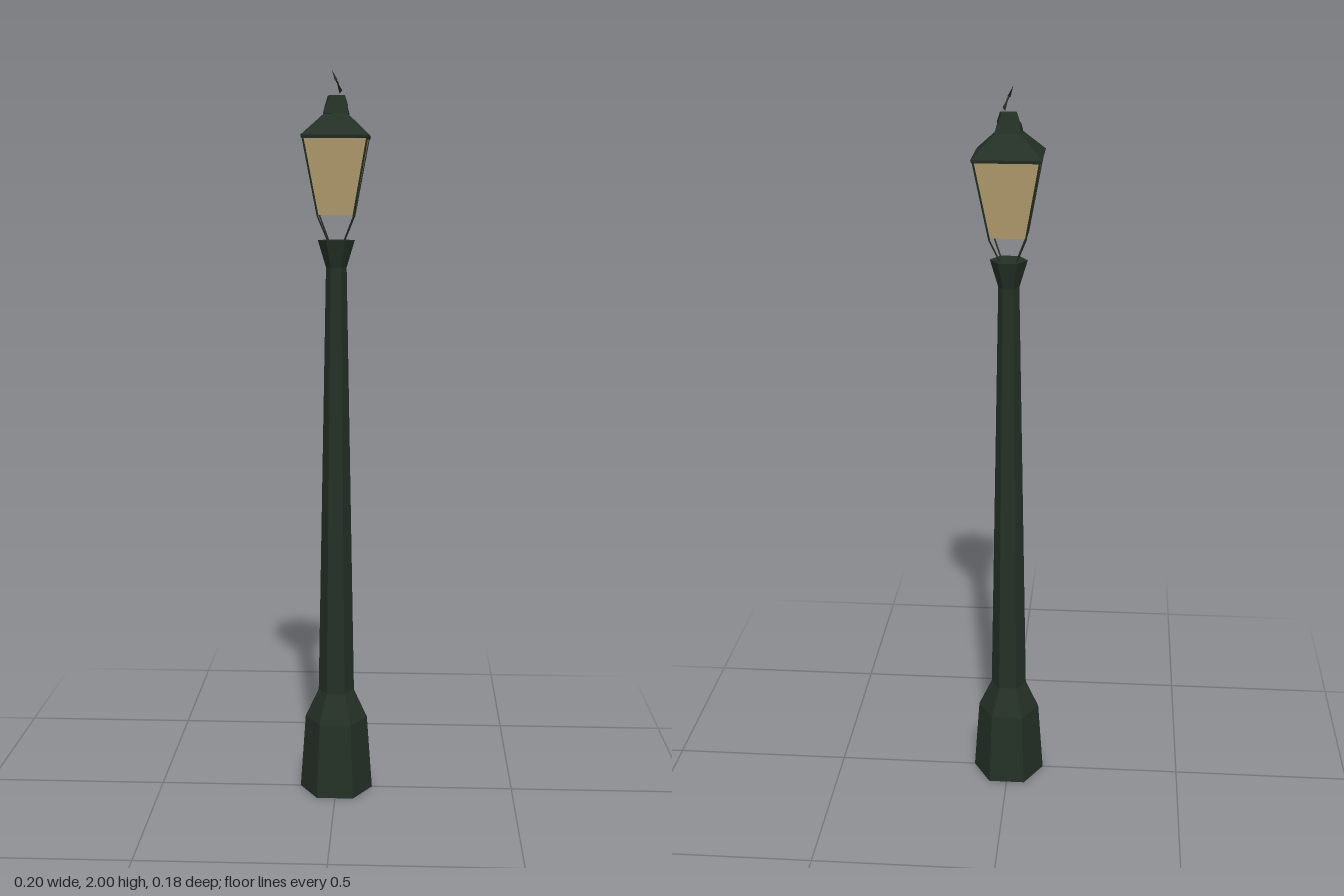
import * as THREE from 'three';

export function createModel() {
  const lamp = new THREE.Group();
  lamp.name = 'streetLamp';
  const iron = new THREE.MeshStandardMaterial({ name: 'darkGreenIron', color: 0x243026, flatShading: true, side: THREE.DoubleSide });
  const glass = new THREE.MeshStandardMaterial({ name: 'amberGlass', color: 0xb8a272, flatShading: true, side: THREE.DoubleSide });

  function add(name, geometry, material, parent = lamp) {
    const mesh = new THREE.Mesh(geometry, material);
    mesh.name = name;
    parent.add(mesh);
    return mesh;
  }

  // Tapered section with flat sides; square ones are sized by half width
  function section(name, sides, y0, r0, y1, r1, material, open = false) {
    const k = sides === 4 ? Math.SQRT2 : 1;
    const start = sides === 4 ? Math.PI / 4 : Math.PI / 2;
    const g = new THREE.CylinderGeometry(r1 * k, r0 * k, y1 - y0, sides, 1, open, start);
    g.translate(0, (y0 + y1) / 2, 0);
    return add(name, g, material);
  }

  // Thin straight rod between two points
  function rod(name, a, b, radius) {
    const dir = b.clone().sub(a);
    const m = add(name, new THREE.CylinderGeometry(radius, radius, dir.length(), 4), iron);
    m.position.copy(a).add(b).multiplyScalar(0.5);
    m.quaternion.setFromUnitVectors(new THREE.Vector3(0, 1, 0), dir.normalize());
  }

  // Hexagonal post
  section('base', 6, 0, 0.102, 0.21, 0.087, iron);
  section('baseShoulder', 6, 0.21, 0.087, 0.29, 0.05, iron);
  section('shaft', 6, 0.29, 0.05, 1.48, 0.028, iron);
  section('collar', 6, 1.48, 0.028, 1.553, 0.05, iron);

  // Open glass lantern, with corner bars and stays
  section('lanternGlass', 4, 1.62, 0.047, 1.825, 0.085, glass, true);
  for (const sx of [-1, 1]) for (const sz of [-1, 1]) {
    const low = new THREE.Vector3(sx * 0.047, 1.615, sz * 0.047);
    rod('cornerBar', low, new THREE.Vector3(sx * 0.085, 1.825, sz * 0.085), 0.0025);
    rod('stay', new THREE.Vector3(sx * 0.021, 1.55, sz * 0.021), low, 0.002);
  }

  // Roof and chimney cap
  section('roofEdge', 4, 1.82, 0.088, 1.828, 0.09, iron);
  section('roof', 4, 1.828, 0.09, 1.888, 0.028, iron);
  section('chimney', 4, 1.885, 0.034, 1.905, 0.029, iron);
  section('chimneyCap', 4, 1.905, 0.029, 1.932, 0.021, iron).rotation.y = 0.14;

  // Twisted finial made of thin leaves
  const finial = new THREE.Group();
  finial.name = 'finial';
  lamp.add(finial);
  const leaves = [
    [-0.012, 2, -0.008, 0.004, 1.972, 0.004, -0.004, 1.97, 0.008],
    [-0.006, 1.978, 0.01, 0.004, 1.97, -0.004, 0.014, 1.94, -0.028],
    [0, 1.972, 0.002, 0.016, 1.945, 0.004, 0.008, 1.938, -0.012],
  ];
  for (const points of leaves) {
    const g = new THREE.BufferGeometry();
    g.setAttribute('position', new THREE.Float32BufferAttribute(points, 3));
    g.computeVertexNormals();
    add('finialLeaf', g, iron, finial);
  }
  return lamp;
}
